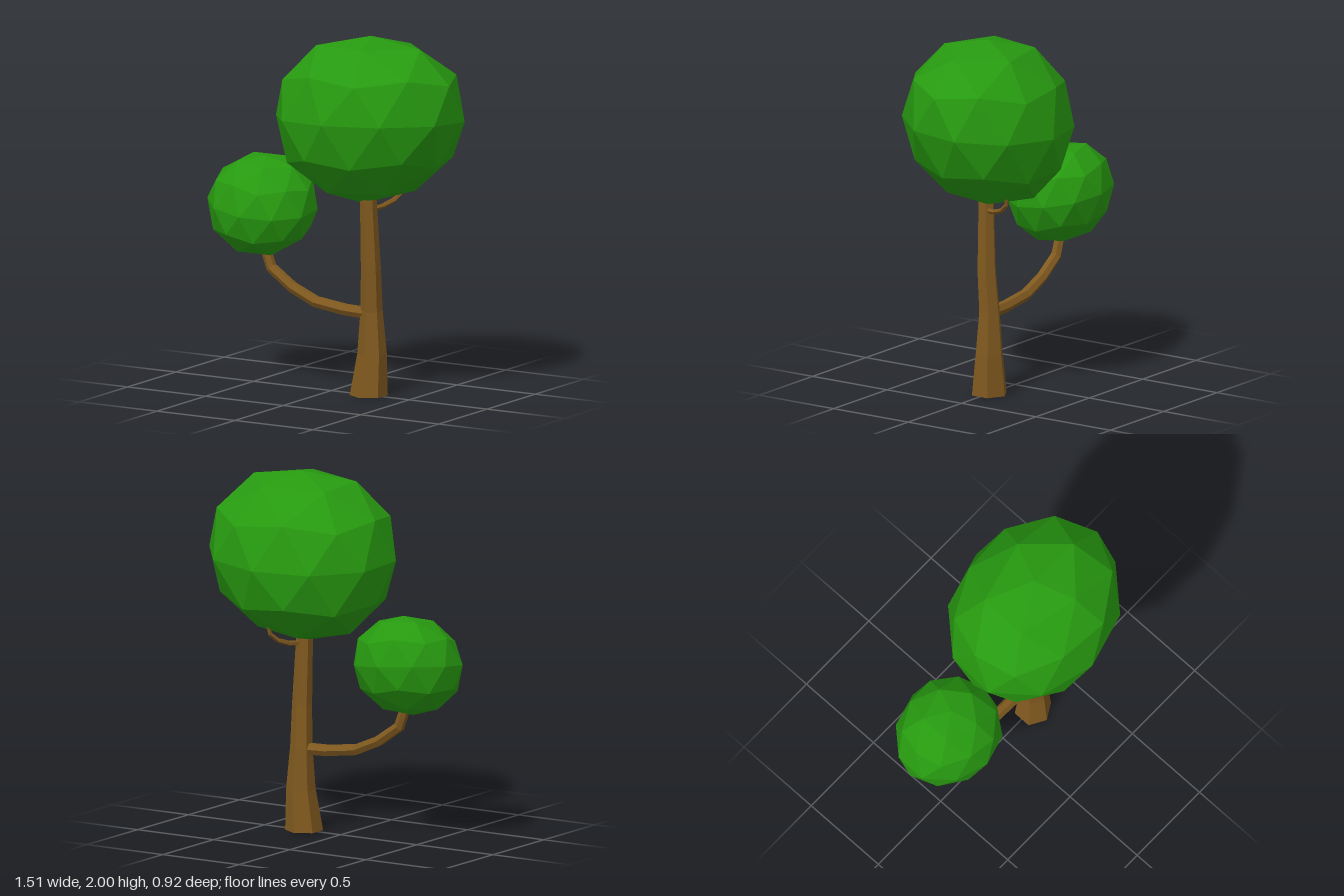
import * as THREE from 'three';

const bark = new THREE.MeshStandardMaterial({ color: 0x80591f, flatShading: true });
const leaf = new THREE.MeshStandardMaterial({ color: 0x279a10, flatShading: true });

// Faceted limb: rings of [x, y, z, radius] swept along a path, capped at both ends
function limb(name, path, sides, ref, fixedDir) {
  const pts = path.map(([x, y, z]) => new THREE.Vector3(x, y, z));
  const pos = [], idx = [];
  path.forEach((p, i) => {
    const dir = fixedDir ?? pts[Math.min(i + 1, pts.length - 1)].clone()
      .sub(pts[Math.max(i - 1, 0)]).normalize();
    const side = new THREE.Vector3().crossVectors(dir, ref).normalize();
    const out = new THREE.Vector3().crossVectors(side, dir);
    for (let s = 0; s < sides; s++) {
      const a = (s / sides) * Math.PI * 2;
      const v = pts[i].clone().addScaledVector(out, Math.cos(a) * p[3])
        .addScaledVector(side, Math.sin(a) * p[3]);
      pos.push(v.x, v.y, v.z);
      if (i === 0) continue;
      const n = (s + 1) % sides, b = (i - 1) * sides, t = i * sides;
      idx.push(b + s, b + n, t + n, b + s, t + n, t + s);
    }
  });
  const last = (path.length - 1) * sides;
  for (let s = 1; s < sides - 1; s++) {
    idx.push(0, s + 1, s, last, last + s, last + s + 1);
  }
  const indexed = new THREE.BufferGeometry();
  indexed.setAttribute('position', new THREE.Float32BufferAttribute(pos, 3));
  indexed.setIndex(idx);
  const geo = indexed.toNonIndexed();
  geo.computeVertexNormals();
  const mesh = new THREE.Mesh(geo, bark);
  mesh.name = name;
  return mesh;
}

// Foliage: a faceted ball with a corner at each pole, pushed out of round by a rule
function foliage(name, tilt, warp) {
  const geo = new THREE.IcosahedronGeometry(1, 1);
  geo.rotateZ(-0.5536 + tilt);
  const p = geo.attributes.position;
  for (let i = 0; i < p.count; i++) p.setXYZ(i, ...warp(p.getX(i), p.getY(i), p.getZ(i)));
  geo.computeVertexNormals();
  const mesh = new THREE.Mesh(geo, leaf);
  mesh.name = name;
  return mesh;
}

export function createModel() {
  const tree = new THREE.Group();
  tree.name = 'tree';
  const X = new THREE.Vector3(1, 0, 0), Y = new THREE.Vector3(0, 1, 0), Z = new THREE.Vector3(0, 0, 1);

  // Trunk with flared foot
  tree.add(limb('trunk', [
    [0.24, 0, 0, 0.104], [0.255, 0.23, -0.01, 0.081], [0.252, 0.47, -0.01, 0.061],
    [0.257, 0.7, 0.005, 0.055], [0.247, 1.08, 0.015, 0.046], [0.245, 1.14, 0.015, 0.044],
  ], 6, Z, Y));

  // Long curved side branch
  tree.add(limb('sideBranch', [
    [0.24, 0.455, 0, 0.035], [0.09, 0.46, 0, 0.034], [-0.1, 0.485, 0, 0.033],
    [-0.25, 0.55, 0, 0.032], [-0.385, 0.645, 0, 0.031], [-0.42, 0.74, 0, 0.029], [-0.43, 0.82, 0, 0.027],
  ], 6, Z));

  // Small twig at the back, under the crown
  tree.add(limb('twig', [
    [0.26, 1.04, 0.01, 0.015], [0.285, 1.045, -0.07, 0.015], [0.315, 1.07, -0.14, 0.014],
    [0.34, 1.11, -0.185, 0.012], [0.35, 1.175, -0.2, 0.009],
  ], 5, X));

  tree.add(foliage('crown', 0, (x, y, z) => [
    0.25 + 0.535 * x + 0.022 * y - 0.02 * y * y + 0.04 * x * y * (1 + y) - 0.03 * z,
    Math.min(2, 1.54 + 0.475 * y + 0.02 * x + 0.03 * z),
    0.46 * z,
  ]));

  tree.add(foliage('sideFoliage', -0.1, (x, y, z) => [
    -0.445 + 0.318 * x + 0.02 * z * z,
    THREE.MathUtils.clamp(0.995 + 0.285 * y - 0.03 * z, 0.72, 1.265),
    0.278 * z,
  ]));
  return tree;
}
